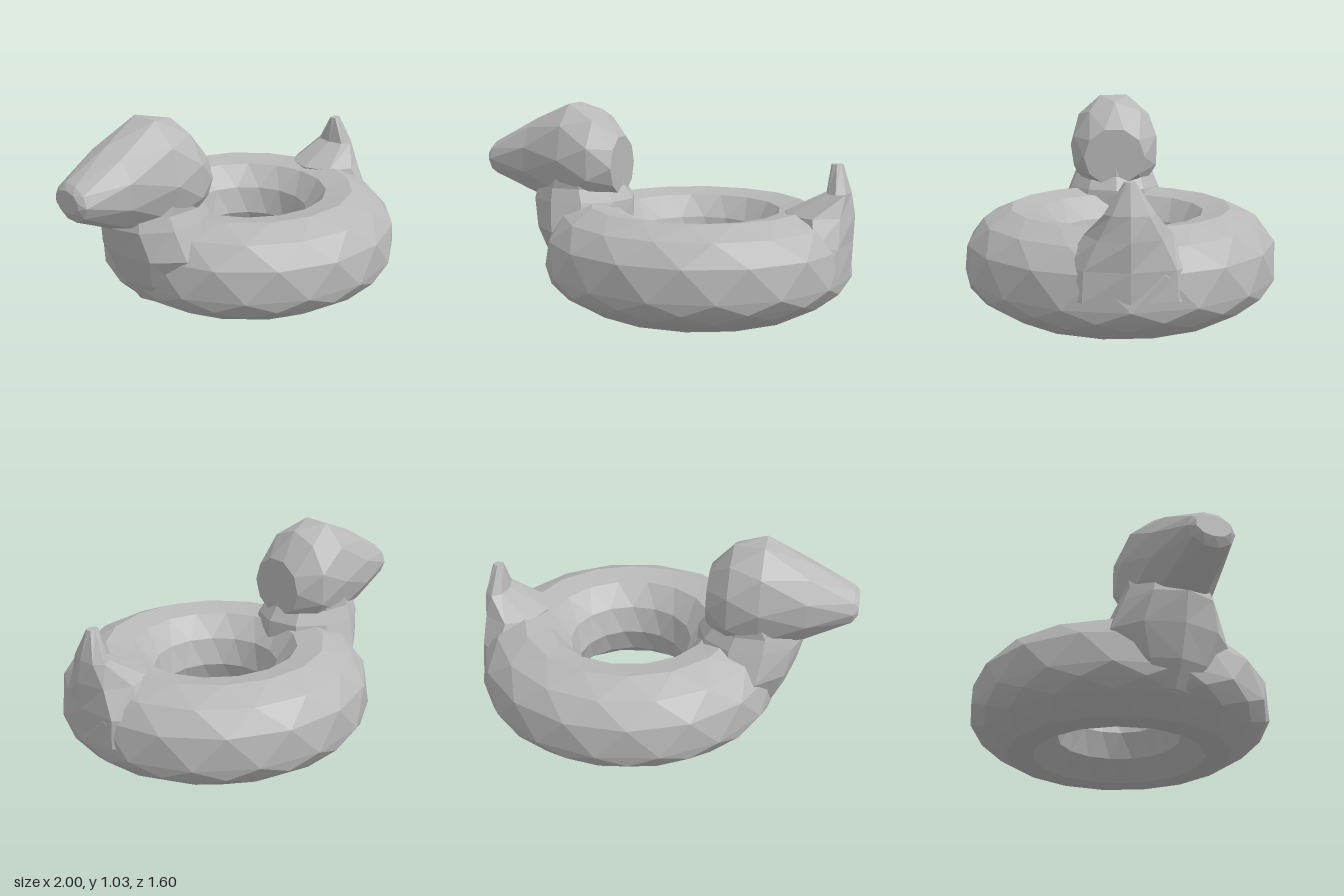
import * as THREE from 'three';

// Skin a list of equal-length loops with flat triangles, alternating the stagger
function loft(name, loops, material, { capped = true, staggered = true } = {}) {
  const n = loops[0].length, pos = [];
  const tri = (a, b, c) => pos.push(...a, ...b, ...c);
  const count = capped ? loops.length - 1 : loops.length;
  for (let i = 0; i < count; i++) {
    const A = loops[i], B = loops[(i + 1) % loops.length];
    for (let j = 0; j < n; j++) {
      const k = (j + 1) % n;
      if (staggered && i % 2) { tri(A[j], A[k], B[k]); tri(A[j], B[k], B[j]); }
      else { tri(A[j], A[k], B[j]); tri(A[k], B[k], B[j]); }
    }
  }
  if (capped) {
    const centre = (L) => [0, 1, 2].map((a) => L.reduce((s, p) => s + p[a], 0) / n);
    const first = loops[0], last = loops[loops.length - 1];
    for (let j = 0; j < n; j++) {
      const k = (j + 1) % n;
      tri(first[k], first[j], centre(first));
      tri(last[j], last[k], centre(last));
    }
  }
  // Turn the triangles outward when the enclosed volume is negative
  let volume = 0;
  const v = [0, 1, 2].map(() => new THREE.Vector3());
  for (let i = 0; i < pos.length; i += 9) {
    v.forEach((p, q) => p.fromArray(pos, i + q * 3));
    volume += v[0].dot(v[1].clone().cross(v[2]));
  }
  if (volume < 0) {
    for (let i = 0; i < pos.length; i += 9)
      for (let q = 0; q < 3; q++) [pos[i + 3 + q], pos[i + 6 + q]] = [pos[i + 6 + q], pos[i + 3 + q]];
  }
  const geometry = new THREE.BufferGeometry();
  geometry.setAttribute('position', new THREE.Float32BufferAttribute(pos, 3));
  geometry.computeVertexNormals();
  const mesh = new THREE.Mesh(geometry, material);
  mesh.name = name;
  return mesh;
}

// Horizontal oval from x0 to x1 at height y
function level(y, x0, x1, halfWidth, n, slope = 0) {
  return Array.from({ length: n }, (_, j) => {
    const t = (j / n) * Math.PI * 2, c = Math.cos(t);
    return [(x0 + x1) / 2 + c * (x1 - x0) / 2, y + c * slope, Math.sin(t) * halfWidth];
  });
}

// Upright oval at x, from height y0 to y1
function upright(x, y0, y1, halfWidth, z, n, turn) {
  return Array.from({ length: n }, (_, j) => {
    const t = ((j + turn) / n) * Math.PI * 2;
    return [x, (y0 + y1) / 2 + Math.cos(t) * (y1 - y0) / 2, z + Math.sin(t) * halfWidth];
  });
}

export function createModel() {
  const group = new THREE.Group();
  const grey = new THREE.MeshStandardMaterial({ color: 0xb8b8b8, flatShading: true });
  grey.name = 'grey vinyl';

  // Inflated ring: staggered circles following the tube profile (radius, height)
  const profile = [
    [0.81, 0.2], [0.795, 0.36], [0.71, 0.465], [0.57, 0.525], [0.43, 0.5], [0.325, 0.39],
    [0.285, 0.25], [0.33, 0.11], [0.46, 0.01], [0.6, 0.01], [0.735, 0.09], [0.785, 0.14],
  ];
  const sides = 16;
  const circles = profile.map(([r, y], i) => Array.from({ length: sides }, (_, j) => {
    const t = ((j + (i % 2) / 2) / sides) * Math.PI * 2;
    return [0.18 + r * Math.cos(t), y, r * 0.985 * Math.sin(t)];
  }));
  group.add(loft('ring', circles, grey, { capped: false }));

  // Chest and neck rising out of the ring
  group.add(loft('neck', [
    level(0.1, -0.58, -0.3, 0.14, 10),
    level(0.22, -0.66, -0.22, 0.24, 10),
    level(0.38, -0.715, -0.18, 0.32, 10),
    level(0.53, -0.75, -0.19, 0.26, 10),
    level(0.6, -0.73, -0.24, 0.23, 10),
    level(0.7, -0.66, -0.25, 0.23, 10),
  ], grey));

  // Head tapering forward into the bill
  const headSections = [
    [-1.0, 0.68, 0.79, 0.09, 0.02],
    [-0.975, 0.635, 0.82, 0.12, 0.02],
    [-0.75, 0.53, 0.945, 0.19, 0],
    [-0.52, 0.45, 1.05, 0.25, 0],
    [-0.36, 0.46, 1.005, 0.245, 0],
    [-0.245, 0.55, 0.87, 0.17, 0.01],
  ];
  group.add(loft('head', headSections.map(([x, y0, y1, w, z], i) =>
    upright(x, y0, y1, w, z, 10, (i % 2) / 2)), grey));

  // Pointed tail, broad at the ring and thin at the tip
  group.add(loft('tail', [
    level(0.24, 0.8, 0.985, 0.3, 8),
    level(0.38, 0.7, 0.99, 0.29, 8),
    level(0.515, 0.64, 0.995, 0.2, 8),
    level(0.625, 0.85, 0.975, 0.115, 8),
    level(0.765, 0.87, 0.93, 0.025, 8),
  ], grey, { staggered: false }));

  return group;
}
